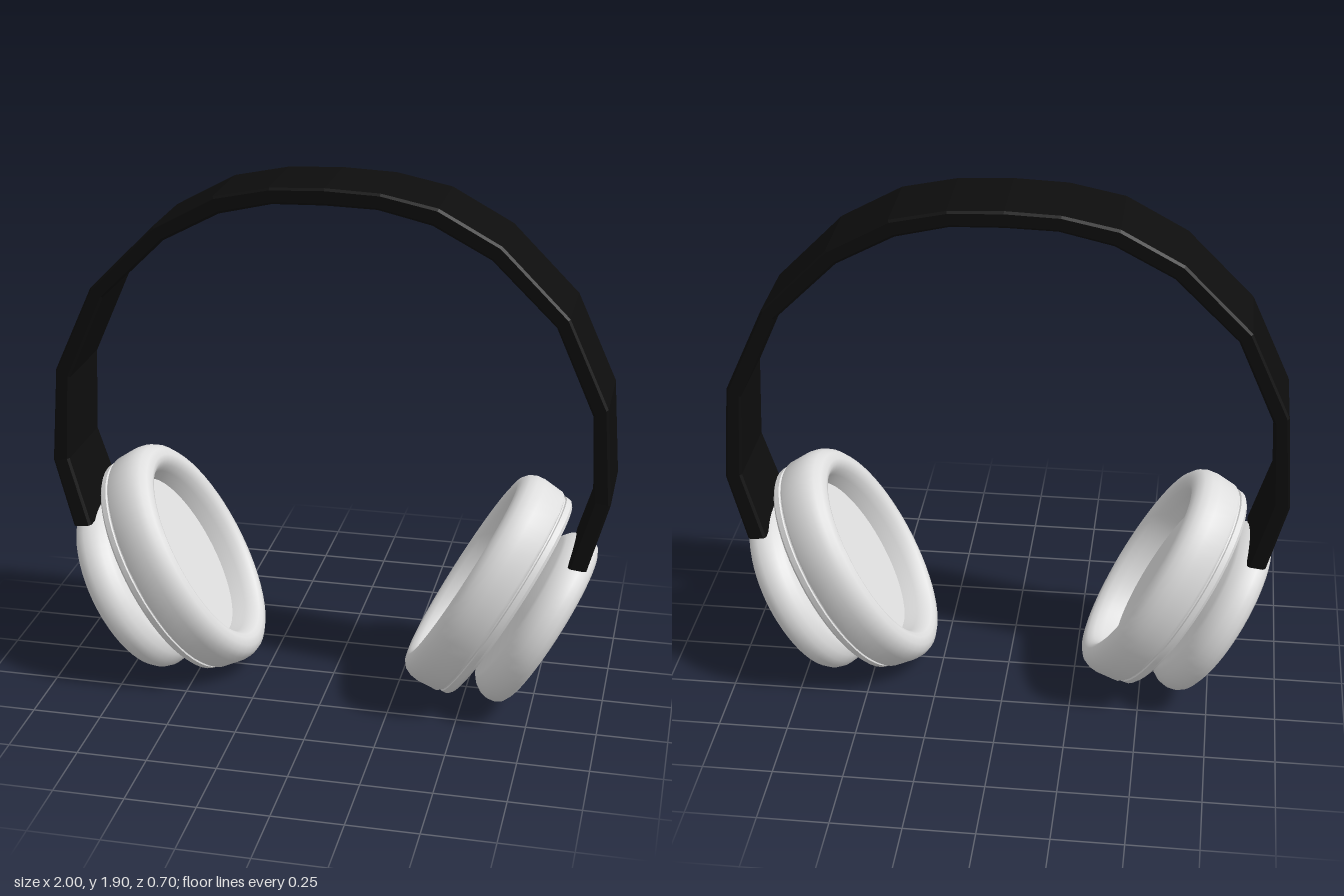
import * as THREE from 'three';
import { toCreasedNormals } from 'three/addons/utils/BufferGeometryUtils.js';

const shell = new THREE.MeshStandardMaterial({ color: 0xdedede });
shell.name = 'pale grey shell';
const black = new THREE.MeshStandardMaterial({ color: 0x0d0d0d });
black.name = 'black band';

function mesh(name, geometry, material) {
  const m = new THREE.Mesh(geometry, material);
  m.name = name;
  return m;
}

// Elliptical turned body around local x. Each profile point: [x, radius in y, radius in z]
function turned(profile, centreY, crease = 0.6, n = 56) {
  const pos = [], index = [];
  for (const [s, ry, rz] of profile) {
    for (let j = 0; j < n; j++) {
      const a = (j / n) * Math.PI * 2;
      pos.push(s, centreY + ry * Math.cos(a), rz * Math.sin(a));
    }
  }
  for (let i = 0; i < profile.length - 1; i++) {
    for (let j = 0; j < n; j++) {
      const k = (j + 1) % n, a = i * n + j, b = i * n + k, c = a + n, d = b + n;
      if (profile[i][1] > 0) index.push(a, b, c);
      if (profile[i + 1][1] > 0) index.push(b, d, c);
    }
  }
  const g = new THREE.BufferGeometry();
  g.setAttribute('position', new THREE.Float32BufferAttribute(pos, 3));
  g.setIndex(index);
  return toCreasedNormals(g, crease);
}

// Faceted headband: chamfered cross-sections between an outer and inner outline
function headbandGeometry() {
  const half = [ // outer x, y, inner x, y, half width
    [0, 1.904, 0, 1.845, 0.157], [0.19, 1.896, 0.18, 1.84, 0.157],
    [0.385, 1.856, 0.365, 1.797, 0.157], [0.6, 1.739, 0.567, 1.69, 0.157],
    [0.834, 1.504, 0.79, 1.472, 0.157], [0.975, 1.195, 0.925, 1.168, 0.158],
    [1.0, 0.85, 0.94, 0.859, 0.165], [0.93, 0.6, 0.865, 0.608, 0.178],
  ];
  const mirrored = half.slice(1).reverse().map(([a, b, c, d, w]) => [-a, b, -c, d, w]);
  const stations = [...mirrored, ...half];
  const pos = [], index = [], n = 8;
  for (const [ox, oy, ix, iy, w] of stations) {
    const e = w - 0.008;
    const section = [[0, e], [0.14, w], [0.86, w], [1, e], [1, -e], [0.86, -w], [0.14, -w], [0, -e]];
    for (const [f, z] of section) pos.push(ox + (ix - ox) * f, oy + (iy - oy) * f, z);
  }
  for (let i = 0; i < stations.length - 1; i++) {
    for (let j = 0; j < n; j++) {
      const k = (j + 1) % n, a = i * n + j, b = i * n + k, c = a + n, d = b + n;
      index.push(a, b, c, b, d, c);
    }
  }
  // End caps
  const last = (stations.length - 1) * n;
  for (let j = 1; j < n - 1; j++) {
    index.push(0, j + 1, j, last, last + j, last + j + 1);
  }
  const g = new THREE.BufferGeometry();
  g.setAttribute('position', new THREE.Float32BufferAttribute(pos, 3));
  g.setIndex(index);
  const flat = g.toNonIndexed();
  flat.computeVertexNormals();
  return flat;
}

function earpiece(name) {
  const g = new THREE.Group();
  g.name = name;

  // Ear cushion with a recessed opening and a thin back ridge
  g.add(mesh('earCushion', turned([
    [0.275, 0, 0], [0.275, 0.325, 0.245], [0.225, 0.335, 0.255],
    [0.195, 0.345, 0.265], [0.178, 0.362, 0.28], [0.172, 0.38, 0.295],
    [0.178, 0.408, 0.32], [0.195, 0.43, 0.336], [0.22, 0.442, 0.347],
    [0.25, 0.446, 0.35], [0.325, 0.44, 0.345], [0.334, 0.434, 0.339],
    [0.337, 0.426, 0.332], [0.342, 0.426, 0.332], [0.345, 0.432, 0.337],
    [0.365, 0.43, 0.334], [0.376, 0.418, 0.322], [0.378, 0, 0],
  ], 0.655), shell));

  // Outer housing with rounded rim and dished face
  g.add(mesh('outerHousing', turned([
    [0.416, 0, 0], [0.416, 0.298, 0.272], [0.424, 0.31, 0.285],
    [0.44, 0.328, 0.305], [0.465, 0.344, 0.321], [0.495, 0.35, 0.326],
    [0.52, 0.346, 0.322], [0.538, 0.335, 0.311], [0.549, 0.316, 0.292],
    [0.552, 0.295, 0.268], [0.548, 0.268, 0.238], [0.538, 0.235, 0.2],
    [0.53, 0.205, 0.168], [0.527, 0.184, 0.148], [0.515, 0.178, 0.142],
    [0.515, 0, 0],
  ], 0.65), shell));

  // Round centre plate
  g.add(mesh('centrePlate', turned([
    [0.514, 0.173, 0.137], [0.521, 0.171, 0.135], [0.523, 0.166, 0.13], [0.523, 0, 0],
  ], 0.65), shell));

  g.rotation.z = THREE.MathUtils.degToRad(-29.5);
  return g;
}

export function createModel() {
  const model = new THREE.Group();
  model.name = 'headphones';
  model.add(mesh('headband', headbandGeometry(), black));

  model.add(earpiece('leftEarpiece'));
  const right = new THREE.Group();
  right.name = 'rightSide';
  right.rotation.y = Math.PI;
  right.add(earpiece('rightEarpiece'));
  model.add(right);
  return model;
}
